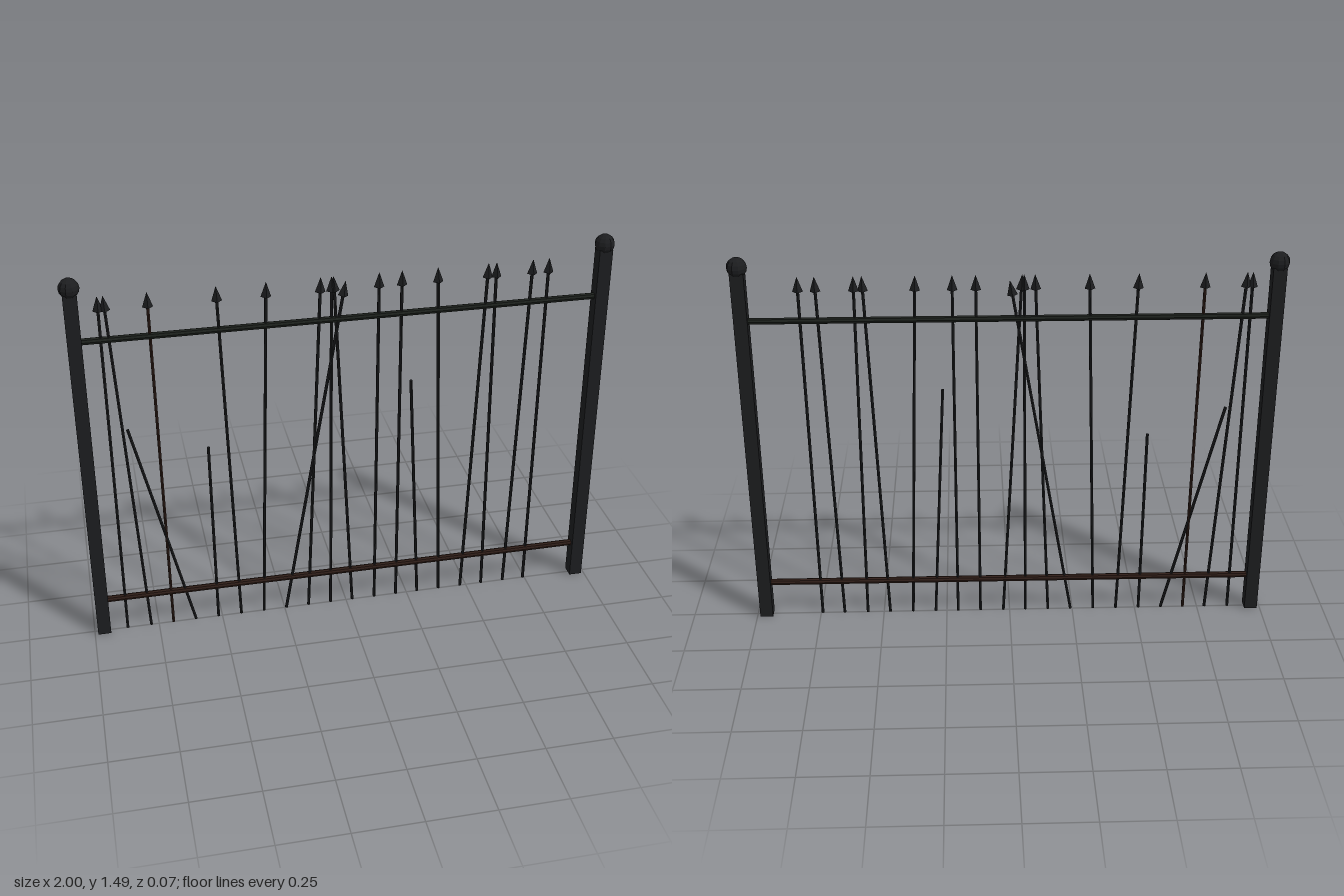
import * as THREE from 'three';

const material = (color) => new THREE.MeshStandardMaterial({ color, flatShading: true });
const iron = material(0x1c1d1f);
const railIron = material(0x1c201c);
const rust = material(0x2e1d17);

const RAIL_HALF = 0.94;

// Base x, top x, height of the end, and whether the picket kept its spear tip
const PICKETS = [
  [-0.872, -0.872, 1.41, 1], [-0.78, -0.852, 1.41, 1], [-0.693, -0.702, 1.41, 1],
  [-0.604, -0.807, 0.877, 0], [-0.515, -0.519, 0.77, 0], [-0.424, -0.463, 1.41, 1],
  [-0.333, -0.286, 1.41, 1], [-0.243, -0.001, 1.388, 1], [-0.153, -0.091, 1.41, 1],
  [-0.063, -0.052, 1.41, 1], [0.025, -0.045, 1.41, 1], [0.116, 0.121, 1.41, 1],
  [0.205, 0.205, 1.41, 1], [0.294, 0.247, 0.965, 0], [0.384, 0.337, 1.41, 1],
  [0.475, 0.526, 1.41, 1], [0.564, 0.556, 1.41, 1], [0.656, 0.694, 1.41, 1],
  [0.743, 0.755, 1.41, 1],
];

function addMesh(parent, name, geometry, mat, x = 0, y = 0) {
  const mesh = new THREE.Mesh(geometry, mat);
  mesh.name = name;
  mesh.position.set(x, y, 0);
  parent.add(mesh);
  return mesh;
}

// Square post with a ball on top
function makePost(side) {
  const post = new THREE.Group();
  post.name = side > 0 ? 'leftPost' : 'rightPost';
  post.position.x = side * 0.963;
  addMesh(post, 'postShaft', new THREE.BoxGeometry(0.05, 1.43, 0.05), iron, 0, 0.715);
  addMesh(post, 'postBall', new THREE.SphereGeometry(0.037, 10, 8), iron, 0, 1.447);
  return post;
}

// Thin rod leaning from its base, with a four-sided spear tip if unbroken
function makePicket([baseX, topX, topY, hasTip], index) {
  const picket = new THREE.Group();
  picket.name = `picket${index + 1}`;
  picket.position.x = baseX;
  picket.rotation.z = -Math.atan2(topX - baseX, topY);
  const length = Math.hypot(topX - baseX, topY);
  const tipHeight = 0.056;
  const rodLength = hasTip ? length - tipHeight : length;
  const mat = index === 2 ? rust : iron;
  addMesh(picket, 'rod', new THREE.CylinderGeometry(0.006, 0.006, rodLength, 6), mat, 0, rodLength / 2);
  if (hasTip) {
    addMesh(picket, 'spearTip', new THREE.ConeGeometry(0.019, tipHeight, 4), iron, 0, rodLength + tipHeight / 2);
  }
  return picket;
}

export function createModel() {
  const fence = new THREE.Group();
  fence.name = 'brokenFence';

  for (const side of [-1, 1]) fence.add(makePost(side));

  // Horizontal rails between the posts
  for (const [name, y, mat] of [['topRail', 1.243, railIron], ['bottomRail', 0.145, rust]]) {
    const rail = addMesh(fence, name, new THREE.CylinderGeometry(0.0125, 0.0125, RAIL_HALF * 2, 8), mat, 0, y);
    rail.rotation.z = Math.PI / 2;
  }

  PICKETS.forEach((spec, i) => fence.add(makePicket(spec, i)));
  return fence;
}
